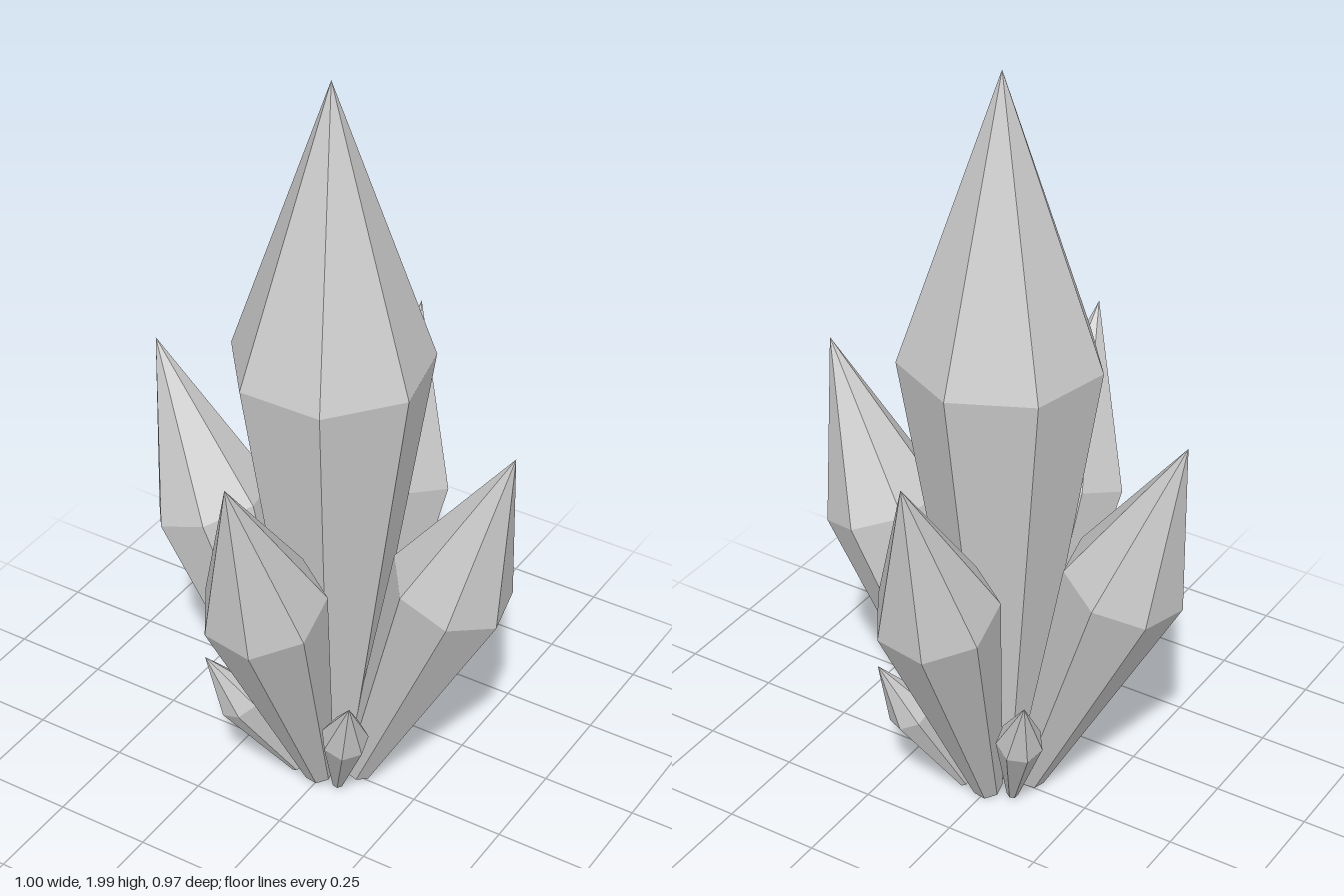
import * as THREE from 'three';

const SIDES = 7;
const SHOULDER = 0.625; // share of the length where the shaft meets the tip

// One crystal from the middle of its base to its tip, turned about its own axis
function crystal(name, base, tip, radius, turn = 0) {
  const foot = new THREE.Vector3(...base);
  const axis = new THREE.Vector3(...tip).sub(foot);
  const length = axis.length();
  const profile = [
    [0, 0],
    [radius * 0.25, 0],
    [radius, length * SHOULDER],
    [0, length],
  ].map(([r, y]) => new THREE.Vector2(r, y));
  const geometry = new THREE.LatheGeometry(
    profile, SIDES, Math.PI + THREE.MathUtils.degToRad(turn));
  const material = new THREE.MeshStandardMaterial({ color: 0xcccccc, flatShading: true });
  const mesh = new THREE.Mesh(geometry, material);
  mesh.name = name;
  mesh.position.copy(foot);
  mesh.quaternion.setFromUnitVectors(new THREE.Vector3(0, 1, 0), axis.normalize());
  return mesh;
}

export function createModel() {
  const group = new THREE.Group();
  group.name = 'crystalCluster';

  // Tall upright crystal
  group.add(crystal('mainCrystal', [0, 0.04, 0], [0, 2, 0], 0.252));

  // Four medium crystals leaning outward
  const medium = [
    ['leftCrystal', [0.078, 0.03, -0.005], [0.5, 1.165, 0], 0.156, 0],
    ['rightCrystal', [-0.078, 0.03, 0.012], [-0.5, 1.168, 0.01], 0.156, 0],
    ['frontCrystal', [0, 0.035, 0.06], [0.015, 1.185, 0.48], 0.156, -7.5],
    ['backCrystal', [0, 0.02, -0.07], [-0.035, 1.165, -0.485], 0.156, 19],
  ];

  // Four small crystals on the diagonals
  const small = [
    ['smallFrontLeftCrystal', [0.06, 0.025, 0.065], [0.2, 0.455, 0.24], 0.06, 0],
    ['smallFrontRightCrystal', [-0.065, 0.025, 0.065], [-0.215, 0.45, 0.25], 0.06, 0],
    ['smallBackLeftCrystal', [0.065, 0.015, -0.08], [0.195, 0.45, -0.268], 0.06, 0],
    ['smallBackRightCrystal', [-0.07, 0.02, -0.06], [-0.205, 0.45, -0.225], 0.06, 0],
  ];

  for (const spec of [...medium, ...small]) group.add(crystal(...spec));
  return group;
}
